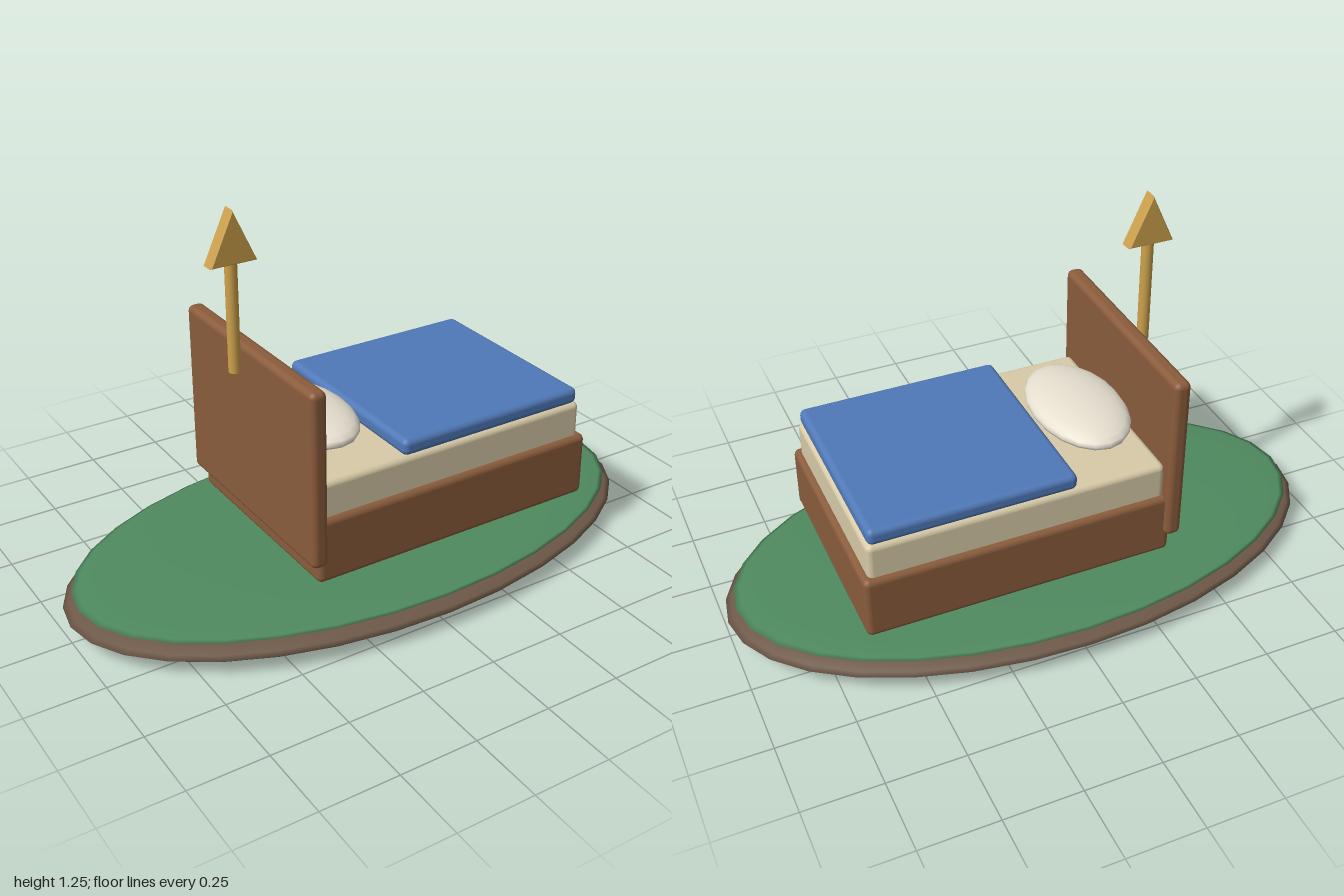
import * as THREE from 'three';
import { RoundedBoxGeometry } from 'three/addons/geometries/RoundedBoxGeometry.js';

const material = (color) => new THREE.MeshStandardMaterial({ color });
const wood = material(0x8a5c3c);
const gold = material(0xcda24c);

export function createModel() {
  const model = new THREE.Group();

  const add = (name, geometry, mat, x, y, z = 0) => {
    const mesh = new THREE.Mesh(geometry, mat);
    mesh.name = name;
    mesh.position.set(x, y, z);
    model.add(mesh);
    return mesh;
  };

  // Rounded box given by its x and y limits and its full depth
  const slab = (name, mat, x0, x1, y0, y1, depth, radius) =>
    add(name, new RoundedBoxGeometry(x1 - x0, y1 - y0, depth, 3, radius), mat, (x0 + x1) / 2, (y0 + y1) / 2);

  // Sphere stretched to three radii
  const ellipsoid = (name, mat, x, y, rx, ry, rz, segments, rings) =>
    add(name, new THREE.SphereGeometry(1, segments, rings).scale(rx, ry, rz), mat, x, y);

  // Island: flat earth lens with a grass cap
  ellipsoid('earthBase', material(0x6e5948), 0, 0.06, 1, 0.057, 0.545, 32, 16);
  ellipsoid('grassTop', material(0x4f8a5f), 0, 0.105, 0.97, 0.019, 0.522, 32, 16);

  // Bed
  slab('bedFrame', wood, -0.355, 0.655, 0.175, 0.39, 0.72, 0.02);
  slab('headboard', wood, -0.385, -0.33, 0.245, 0.82, 0.76, 0.02);
  slab('mattress', material(0xd8cba8), -0.335, 0.635, 0.36, 0.505, 0.685, 0.02);
  slab('blanket', material(0x5079b8), -0.04, 0.628, 0.5, 0.555, 0.675, 0.02);
  ellipsoid('pillow', material(0xe6e0d0), -0.195, 0.548, 0.15, 0.05, 0.242, 20, 14);

  // Arrow marker behind the headboard
  add('arrowShaft', new THREE.CylinderGeometry(0.019, 0.019, 0.36, 16), gold, -0.42, 0.93);
  const triangle = new THREE.Shape([
    new THREE.Vector2(-0.07, 0.005),
    new THREE.Vector2(0.07, 0.005),
    new THREE.Vector2(0, 0.158),
  ]);
  const bevel = 0.005;
  const head = new THREE.ExtrudeGeometry(triangle, {
    depth: 0.038, bevelEnabled: true, bevelThickness: bevel, bevelSize: bevel, bevelSegments: 1,
  });
  head.translate(0, 0, -0.019);
  add('arrowHead', head, gold, -0.42, 1.092);

  return model;
}
